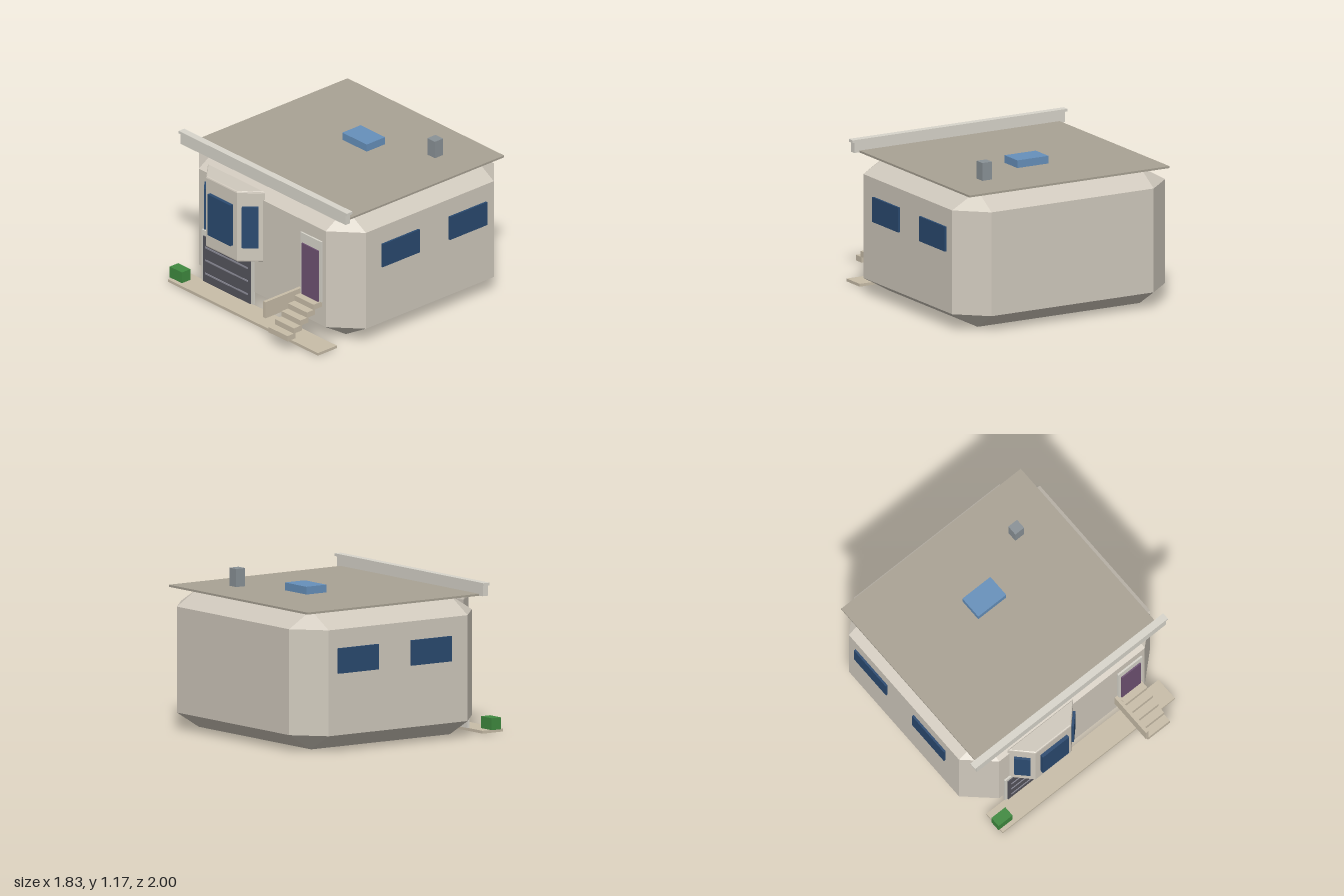
import * as THREE from 'three';
import { ConvexGeometry } from 'three/addons/geometries/ConvexGeometry.js';

const mat = (color) => new THREE.MeshStandardMaterial({ color, flatShading: true });
const M = {
  wall: mat(0xd0c9bd), roof: mat(0xa9a294), trim: mat(0xd8d5cb), glass: mat(0x2a4a70),
  sky: mat(0x6690bb), vent: mat(0x8a9297), garage: mat(0x55545c), strip: mat(0x8c8c98),
  door: mat(0x6e5272), stone: mat(0xc8bda8), plant: mat(0x3f8a3f),
};

export function createModel() {
  const house = new THREE.Group();
  house.name = 'house';

  const add = (name, geo, material, parent = house) => {
    const mesh = new THREE.Mesh(geo, material);
    mesh.name = name;
    parent.add(mesh);
    return mesh;
  };
  // Box given by its extents on each axis
  const box = (name, material, [x0, x1], [y0, y1], [z0, z1], parent) => {
    const mesh = add(name, new THREE.BoxGeometry(x1 - x0, y1 - y0, z1 - z0), material, parent);
    mesh.position.set((x0 + x1) / 2, (y0 + y1) / 2, (z0 + z1) / 2);
    return mesh;
  };
  const group = (name) => {
    const g = new THREE.Group();
    g.name = name;
    house.add(g);
    return g;
  };

  // Body: a box with every edge and corner chamfered
  const half = [0.9, 0.51, 0.8225];
  const cut = [0.215, 0.122, 0.197];
  const points = [];
  for (const sx of [-1, 1]) for (const sy of [-1, 1]) for (const sz of [-1, 1]) {
    for (let full = 0; full < 3; full++) {
      const p = half.map((h, i) => [sx, sy, sz][i] * (i === full ? h : h - cut[i]));
      points.push(new THREE.Vector3(...p));
    }
  }
  add('body', new ConvexGeometry(points), M.wall).position.set(0, 0.51, -0.1775);

  // Roof
  box('roofSlab', M.roof, [-0.845, 0.845], [1.02, 1.035], [-0.955, 0.595]);
  box('parapet', M.trim, [-0.89, 0.89], [1.022, 1.1], [0.592, 0.638]);
  box('parapetCap', M.trim, [-0.908, 0.908], [1.1, 1.12], [0.585, 0.64]);
  box('skylight', M.sky, [-0.133, 0.13], [1.03, 1.092], [-0.438, -0.258]);
  box('chimney', M.vent, [0.46, 0.542], [1.03, 1.168], [-0.632, -0.552]);

  // Side windows
  const sideWindows = group('sideWindows');
  for (const s of [-1, 1]) for (const z of [0.115, -0.543]) {
    box('sideWindow', M.glass, s < 0 ? [-0.916, -0.89] : [0.89, 0.916],
      [0.575, 0.76], [z - 0.182, z + 0.182], sideWindows);
  }

  // Bay: bevelled trapezoid prism
  const bay = group('bay');
  const bayX = -0.289;
  const plan = new THREE.Shape([[-0.296, 0], [0.296, 0], [0.163, -0.133], [-0.163, -0.133]]
    .map(([x, y]) => new THREE.Vector2(x, y)));
  const bayGeo = new THREE.ExtrudeGeometry(plan, {
    depth: 0.545, bevelEnabled: true, bevelThickness: 0.012, bevelSize: 0.01, bevelSegments: 2,
  });
  bayGeo.rotateX(-Math.PI / 2);
  add('bayWalls', bayGeo, M.wall, bay).position.set(bayX, 0.41, 0.64);
  box('bayFrontWindow', M.glass, [-0.41, -0.163], [0.518, 0.848], [0.775, 0.81], bay);
  for (const s of [-1, 1]) {
    const w = add('baySideWindow', new THREE.BoxGeometry(0.12, 0.33, 0.02), M.glass, bay);
    w.position.set(bayX + s * 0.24, 0.683, 0.72);
    w.rotation.y = s * Math.PI / 4;
  }

  // Garage
  const garage = group('garage');
  box('garageFrame', M.trim, [-0.64, -0.083], [0.022, 0.43], [0.64, 0.658], garage);
  box('garageDoor', M.garage, [-0.617, -0.108], [0.022, 0.388], [0.645, 0.666], garage);
  for (const y of [0.093, 0.2, 0.304]) {
    box('garageStrip', M.strip, [-0.59, -0.13], [y - 0.006, y + 0.006], [0.655, 0.671], garage);
  }

  // Entrance
  const entrance = group('entrance');
  box('doorFrame', M.trim, [0.426, 0.652], [0.314, 0.802], [0.635, 0.659], entrance);
  box('frontDoor', M.door, [0.45, 0.63], [0.314, 0.725], [0.645, 0.67], entrance);
  for (let i = 0; i < 5; i++) {
    const top = 0.314 - i * 0.0423;
    const z = 0.645 + i * 0.064;
    box('step', M.stone, [0.437, 0.642], [top - 0.0423, top], [z, z + 0.08], entrance);
  }
  box('stairSideWall', M.stone, [0.402, 0.428], [0.217, 0.347], [0.645, 1.0], entrance);

  // Path and planter
  box('path', M.stone, [-0.81, 0.81], [0, 0.021], [0.65, 0.835]);
  box('planter', M.plant, [-0.823, -0.692], [0.021, 0.108], [0.722, 0.804]);

  return house;
}
